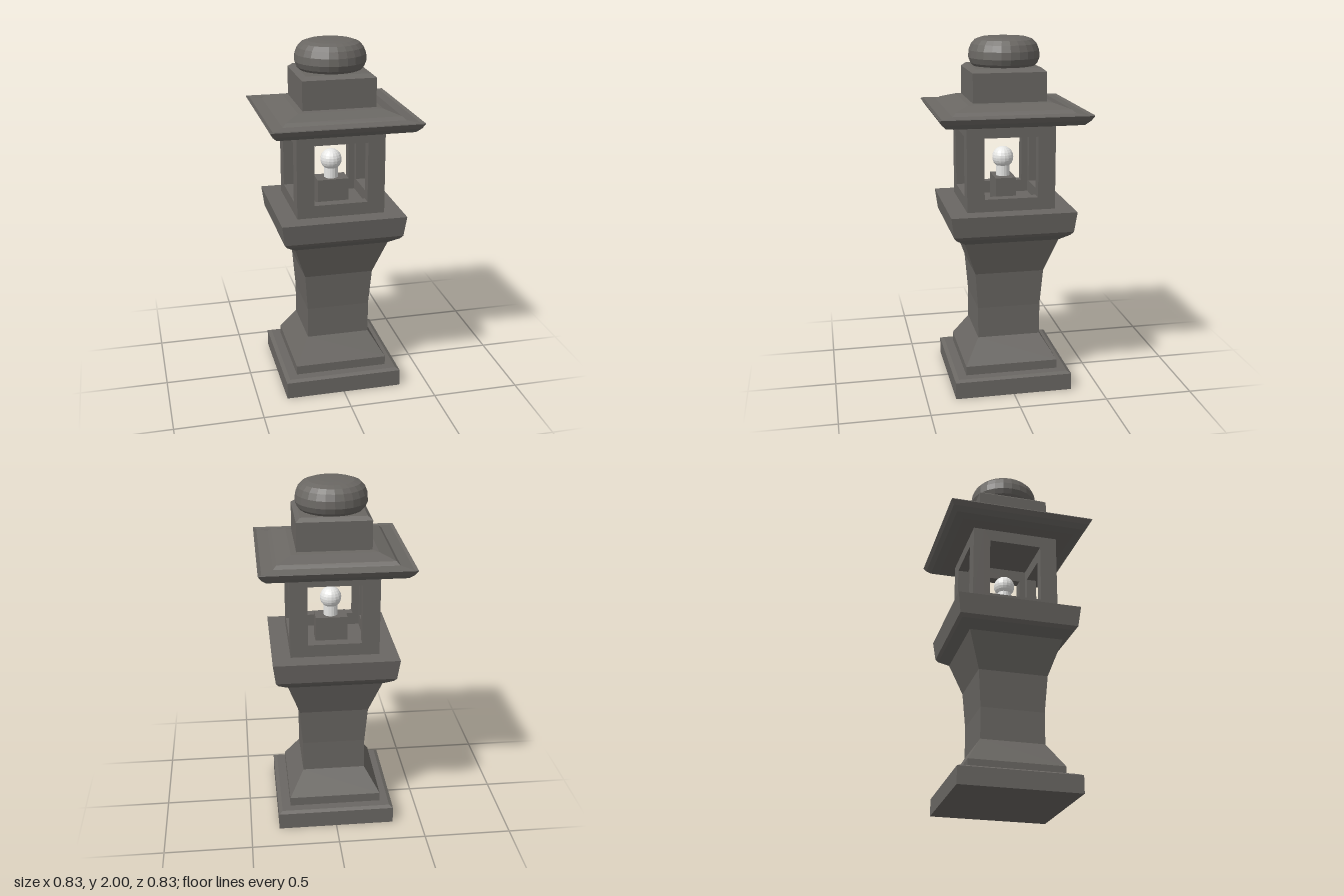
import * as THREE from 'three';

const stone = new THREE.MeshStandardMaterial({ color: 0x6a6763, flatShading: true });
stone.name = 'dark stone';
const white = new THREE.MeshStandardMaterial({ color: 0xf0f0ee, flatShading: true });
white.name = 'white glass';

function add(group, name, geometry, material = stone) {
  const mesh = new THREE.Mesh(geometry, material);
  mesh.name = name;
  group.add(mesh);
  return mesh;
}

// Square section swept up a profile of [half width, height]
function squareLoft(profile) {
  const points = profile.map(([h, y]) => new THREE.Vector2(h * Math.SQRT2, y));
  return new THREE.LatheGeometry(points, 4).rotateY(Math.PI / 4);
}

function turned(profile, segments) {
  return new THREE.LatheGeometry(profile.map(([r, y]) => new THREE.Vector2(r, y)), segments);
}

// Upright wall with a square window, its outer face at z = 0
function windowWall(half, thickness) {
  const y0 = 1.06, y1 = 1.55, w = 0.15, b = 1.135, t = 1.475;
  const shape = new THREE.Shape();
  shape.moveTo(-half, y0).lineTo(half, y0).lineTo(half, y1).lineTo(-half, y1).closePath();
  const hole = new THREE.Path();
  hole.moveTo(-w, b).lineTo(-w, t).lineTo(w, t).lineTo(w, b).closePath();
  shape.holes.push(hole);
  return new THREE.ExtrudeGeometry(shape, { depth: thickness, bevelEnabled: false })
    .translate(0, 0, -thickness);
}

export function createModel() {
  const model = new THREE.Group();
  model.name = 'stoneLantern';

  // Plinth and pedestal
  add(model, 'plinth', squareLoft([
    [0, 0], [0.336, 0], [0.336, 0.097], [0.315, 0.108], [0, 0.11],
  ]));
  add(model, 'pedestal', squareLoft([
    [0.265, 0.1], [0.265, 0.16], [0.18, 0.3], [0.18, 0.48], [0.196, 0.69],
    [0.265, 0.89], [0.32, 0.93], [0.335, 0.95],
  ]));
  add(model, 'platform', squareLoft([
    [0, 0.95], [0.335, 0.95], [0.35, 1.065], [0, 1.065],
  ]));

  // Light chamber: four window walls, the side pair set between the others
  const half = 0.247, thickness = 0.06;
  for (let i = 0; i < 4; i++) {
    const width = i % 2 ? half - thickness : half;
    const pivot = new THREE.Group();
    pivot.name = 'chamberSide';
    pivot.rotation.y = i * Math.PI / 2;
    add(pivot, 'windowWall', windowWall(width, thickness)).position.z = half;
    model.add(pivot);
  }

  // Lamp
  add(model, 'lampBase', new THREE.BoxGeometry(0.18, 0.15, 0.116).translate(0, 1.14, 0));
  add(model, 'lampStem', new THREE.CylinderGeometry(0.04, 0.04, 0.08, 16).translate(0, 1.25, 0), white);
  add(model, 'bulb', new THREE.SphereGeometry(0.061, 16, 12).translate(0, 1.32, 0), white);

  // Roof with a raised rim
  add(model, 'roof', squareLoft([
    [0, 1.545], [0.33, 1.545], [0.375, 1.555], [0.4, 1.58], [0.416, 1.607], [0.414, 1.612],
    [0.397, 1.606], [0.335, 1.612], [0.315, 1.63], [0.235, 1.656], [0.2, 1.66],
  ]));
  add(model, 'neck', squareLoft([
    [0.204, 1.65], [0.204, 1.82], [0.18, 1.84], [0, 1.845],
  ]));

  // Rounded finial
  add(model, 'cap', turned([
    [0, 1.83], [0.165, 1.832], [0.187, 1.855], [0.199, 1.885], [0.196, 1.925], [0.182, 1.96],
    [0.16, 1.983], [0.125, 1.995], [0.07, 1.999], [0, 2],
  ], 24)).position.set(-0.003, 0, -0.006);

  return model;
}
